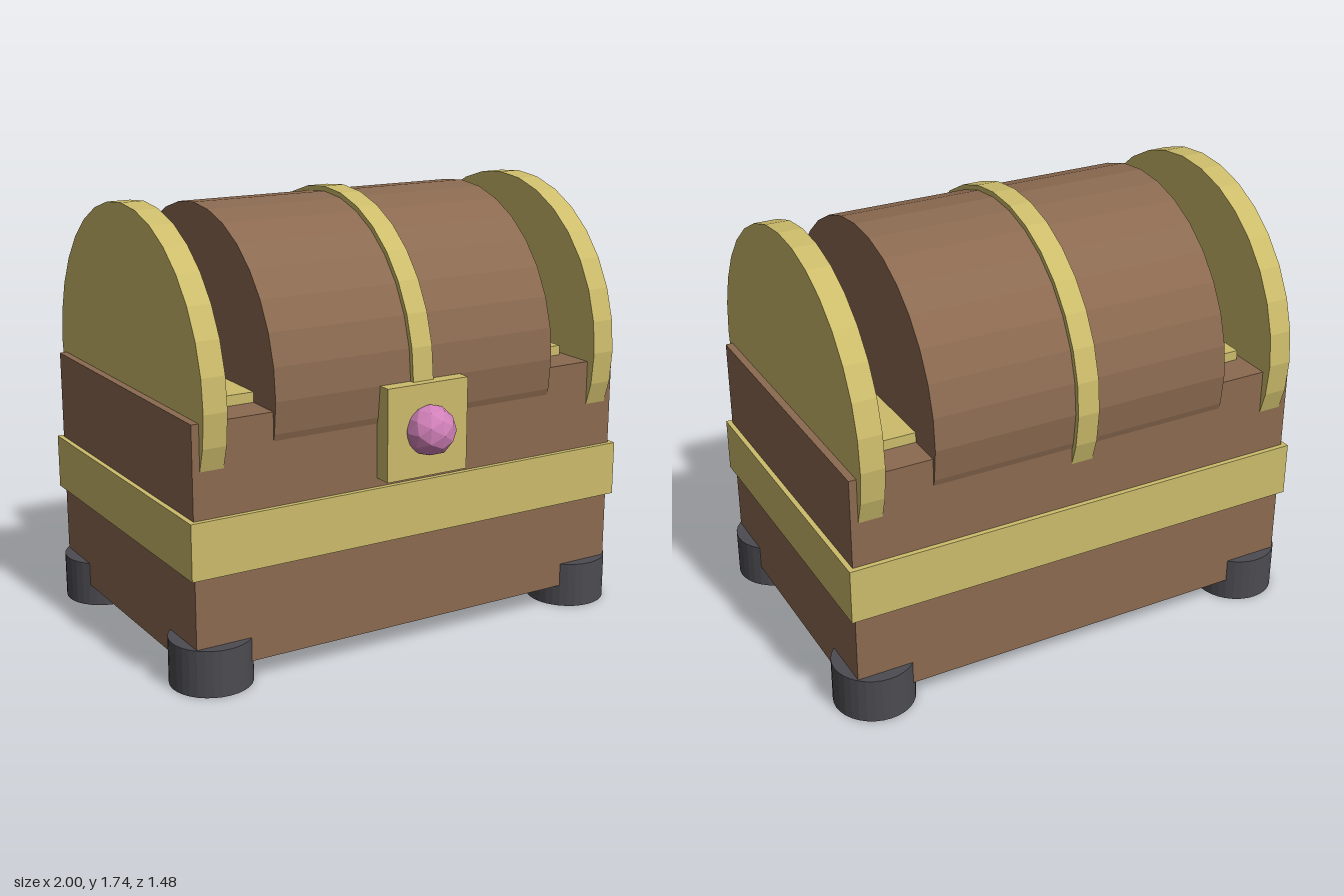
import * as THREE from 'three';

const CZ = -0.07;   // depth centre of the chest
const LID_Y = 1.08; // axis height of the rounded lid

function material(name, color) {
  const m = new THREE.MeshStandardMaterial({ color, flatShading: true });
  m.name = name;
  return m;
}

export function createModel() {
  const wood = material('brown wood', 0x8b6a50);
  const gold = material('gold trim', 0xccbc6b);
  const iron = material('dark iron', 0x4b4b51);
  const gem = material('pink gem', 0xd080b8);

  const chest = new THREE.Group();
  chest.name = 'chest';

  const add = (name, geometry, mat, x, y, z) => {
    const mesh = new THREE.Mesh(geometry, mat);
    mesh.name = name;
    mesh.position.set(x, y, z);
    chest.add(mesh);
    return mesh;
  };
  const box = (name, mat, w, h, d, x, y, z) =>
    add(name, new THREE.BoxGeometry(w, h, d), mat, x, y, z);
  // Round section lying along x, its lower half sunk in the body
  const barrel = (name, mat, radius, width, x) =>
    add(name, new THREE.CylinderGeometry(radius, radius, width, 32).rotateZ(Math.PI / 2), mat, x, LID_Y, CZ);

  // Body with a band around it
  box('body', wood, 1.9, 0.95, 1.24, 0, 0.565, CZ);
  box('bodyBand', gold, 1.94, 0.22, 1.28, 0, 0.57, CZ);
  box('rimPlate', gold, 1.6, 0.08, 0.95, 0, 1.04, -0.075);

  // Rounded lid and its hoops
  barrel('lid', wood, 0.64, 1.245, 0);
  barrel('middleHoop', gold, 0.66, 0.09, 0);
  barrel('leftEndDisc', gold, 0.66, 0.095, 0.873);
  barrel('rightEndDisc', gold, 0.66, 0.095, -0.873);

  // Lock plate and knob
  box('lockPlate', gold, 0.36, 0.365, 0.125, 0, 0.8975, 0.5625);
  add('lockKnob', new THREE.IcosahedronGeometry(0.1, 1), gem, 0, 0.9, 0.64);

  // Feet at the four corners
  for (const sx of [-1, 1]) {
    for (const sz of [-1, 1]) {
      add(`${sz > 0 ? 'front' : 'back'}${sx > 0 ? 'Left' : 'Right'}Foot`,
        new THREE.CylinderGeometry(0.16, 0.16, 0.185, 32), iron, sx * 0.84, 0.0925, CZ + sz * 0.51);
    }
  }
  return chest;
}
